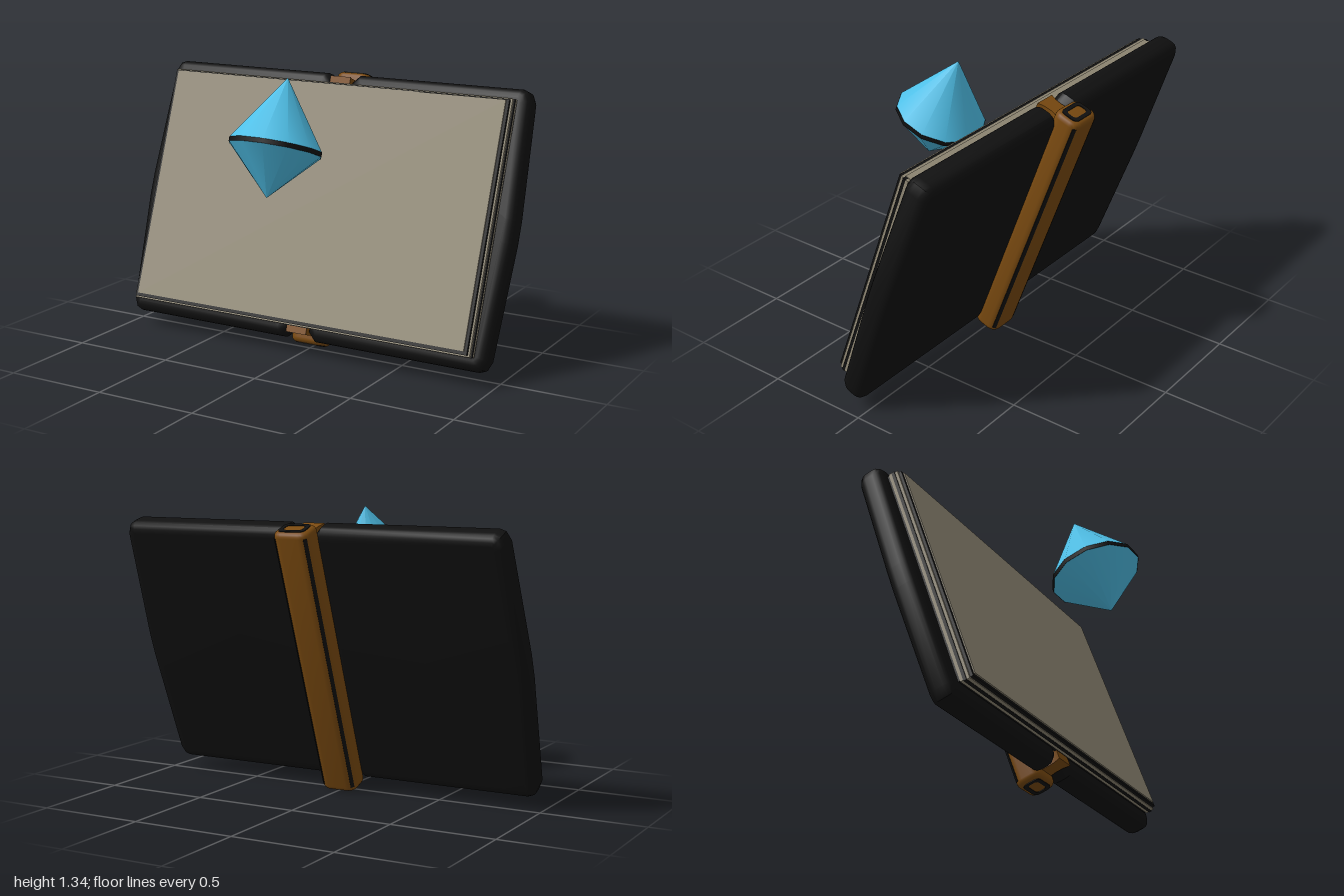
import * as THREE from 'three';
import { toCreasedNormals } from 'three/addons/utils/BufferGeometryUtils.js';

const mat = (name, color) => {
  const m = new THREE.MeshStandardMaterial({ color });
  m.name = name;
  return m;
};

// Rounded rectangle centred on (cx, cy)
function roundRect(cx, cy, hx, hy, r, Type = THREE.Shape) {
  const s = new Type();
  [[1, 1], [-1, 1], [-1, -1], [1, -1]].forEach(([sx, sy], i) =>
    s.absarc(cx + sx * (hx - r), cy + sy * (hy - r), r, i * Math.PI / 2, (i + 1) * Math.PI / 2, false));
  return s;
}

// Extrude with rounded edges; size and depth are the outer ones
function rounded(shape, depth, bevel, segments = 4) {
  const g = new THREE.ExtrudeGeometry(shape, {
    depth: depth - 2 * bevel, curveSegments: 4, bevelEnabled: bevel > 0,
    bevelThickness: bevel, bevelSize: bevel, bevelOffset: -bevel, bevelSegments: segments,
  });
  g.translate(0, 0, bevel);
  return toCreasedNormals(g, 0.7);
}

export function createModel() {
  const black = mat('black', 0x101010);
  const cream = mat('cream', 0x928a76);
  const brown = mat('brown', 0x7a4a10);
  const blue = mat('blue', 0x4fc0e8);

  const model = new THREE.Group();
  model.name = 'bookAndCrystal';
  // Everything leans back together: y runs up the book, z out of its pages
  const tilt = new THREE.Group();
  tilt.name = 'tiltedBook';
  tilt.rotation.x = -Math.PI / 9;
  model.add(tilt);

  const add = (name, geo, material, x = 0, y = 0, z = 0) => {
    const m = new THREE.Mesh(geo, material);
    m.name = name;
    m.position.set(x, y, z);
    tilt.add(m);
    return m;
  };
  // Box given by half width, bottom, top, back and front
  const slab = (name, material, hx, y0, y1, z0, z1) =>
    add(name, new THREE.BoxGeometry(2 * hx, y1 - y0, z1 - z0), material, 0, (y0 + y1) / 2, (z0 + z1) / 2);

  // Two padded covers, slightly bowed on the outer edge
  for (const side of [1, -1]) {
    const pts = [[0.05, 0.07], [0.09, 0.03], [0.925, 0.03], [0.955, 0.042], [0.975, 0.085],
      [1, 0.62], [1, 0.73], [0.975, 1.27], [0.955, 1.313], [0.925, 1.325], [0.09, 1.325], [0.05, 1.285]];
    const shape = new THREE.Shape(pts.map(([x, y]) => new THREE.Vector2(side * x, y)));
    add(side > 0 ? 'leftCover' : 'rightCover', rounded(shape, 0.128, 0.045), black, 0, 0, 0.033);
  }

  // Page block in alternating layers, tapering towards the front
  [
    [black, 0.918, 0.155, 0.171, 0.1, 1.262],
    [cream, 0.922, 0.171, 0.185, 0.092, 1.264],
    [black, 0.922, 0.185, 0.2, 0.088, 1.264],
    [cream, 0.917, 0.2, 0.214, 0.09, 1.262],
    [black, 0.908, 0.214, 0.228, 0.097, 1.256],
  ].forEach(([m, hx, z0, z1, y0, y1]) => slab('pageLayer', m, hx, y0, y1, z0, z1));
  slab('pageFace', cream, 0.893, 0.113, 1.252, 0.228, 0.234);
  slab('pageTop', cream, 0.905, 1.262, 1.267, 0.165, 0.2);

  // Spine: rounded bar with a flared neck that holds the pages
  const along = (shape, y0, y1, bevel) =>
    rounded(shape, y1 - y0, bevel).rotateX(-Math.PI / 2).translate(0, y0, 0);
  add('spine', along(roundRect(0, 0.003, 0.09, 0.0675, 0.045), 0.015, 1.35, 0.025), brown);
  const neck = new THREE.Shape();
  neck.moveTo(0.06, -0.03);
  neck.quadraticCurveTo(0.025, -0.1, 0.055, -0.165);
  neck.lineTo(-0.055, -0.165);
  neck.quadraticCurveTo(-0.025, -0.1, -0.06, -0.03);
  add('spineNeck', along(neck, 0.055, 1.305, 0), brown);

  // Black piping: a ring on both spine ends and a strip down both back corners
  const ring = roundRect(0, 0.003, 0.068, 0.045, 0.026);
  ring.holes.push(roundRect(0, 0.003, 0.048, 0.026, 0.018, THREE.Path));
  for (const y of [0.012, 1.347]) add('spineEndRing', along(ring, y, y + 0.006, 0), black);
  for (const side of [1, -1]) {
    const strip = add('spineStrip', new THREE.BoxGeometry(0.018, 1.28, 0.006), black, side * 0.077, 0.6825, -0.056);
    strip.rotation.y = -side * Math.PI / 4;
  }

  // Floating crystal: two cones and a dark girdle
  const cy = 0.868, cz = 0.643, r = 0.217;
  const turn = Math.PI / 12;
  add('crystalTop', new THREE.ConeGeometry(r, 0.313, 12, 1, true).rotateY(turn), blue, 0, cy + 0.01 + 0.1565, cz);
  add('crystalBottom', new THREE.ConeGeometry(r, 0.221, 12, 1, true).rotateX(Math.PI).rotateY(turn), blue, 0, cy - 0.01 - 0.1105, cz);
  add('crystalGirdle', new THREE.CylinderGeometry(r + 0.001, r + 0.001, 0.021, 12).rotateY(turn), black, 0, cy, cz);

  return model;
}
